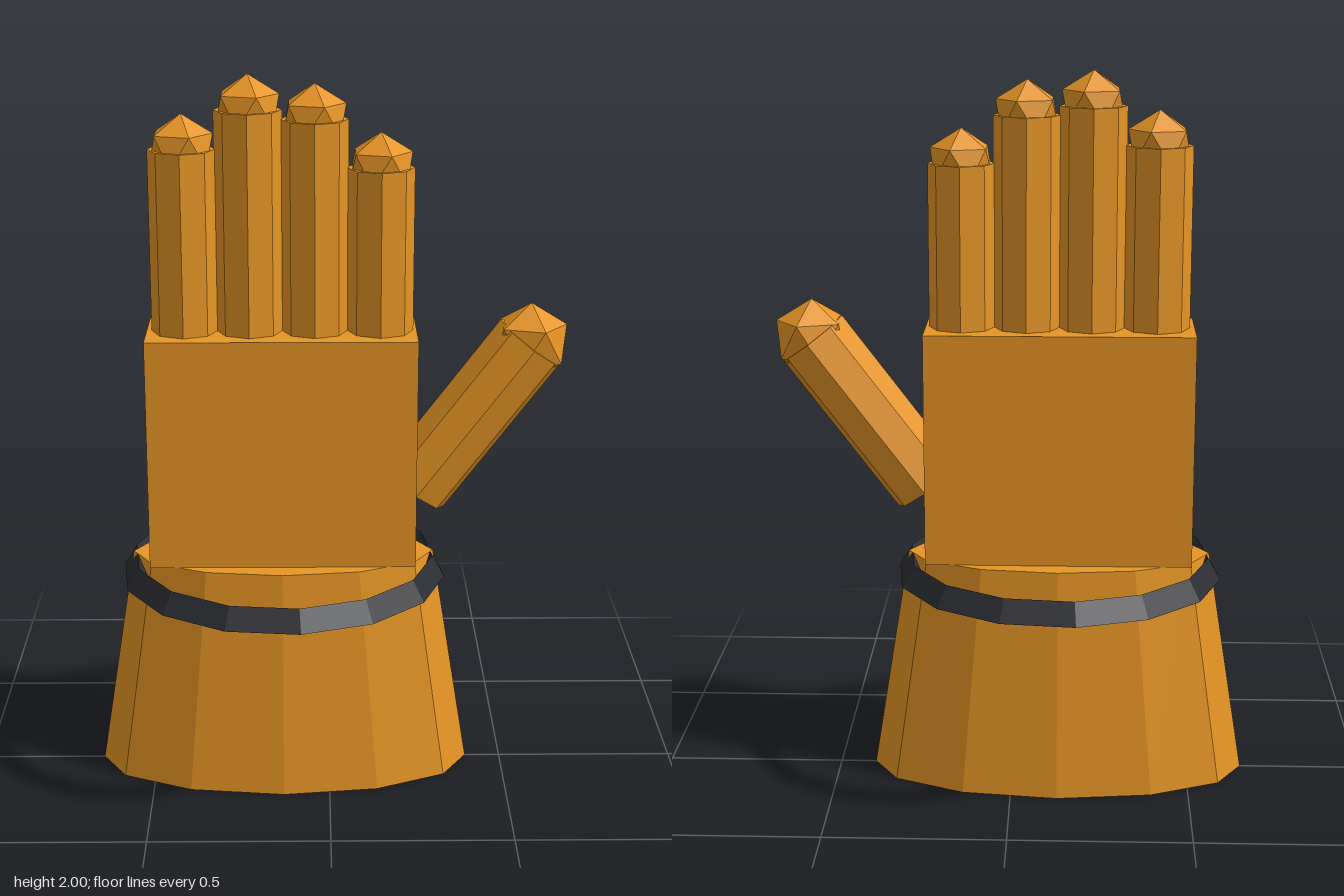
import * as THREE from 'three';

export function createModel() {
  const model = new THREE.Group();
  model.name = 'gauntlet';
  const leather = new THREE.MeshStandardMaterial({ color: 0xe69525, flatShading: true });
  const dark = new THREE.MeshStandardMaterial({ color: 0x2d2e33, flatShading: true });

  const add = (name, geometry, material, x, y, z = 0, parent = model) => {
    const mesh = new THREE.Mesh(geometry, material);
    mesh.name = name;
    mesh.position.set(x, y, z);
    parent.add(mesh);
    return mesh;
  };

  const midX = -0.13;

  // flared oval cuff
  const cuff = new THREE.CylinderGeometry(0.425, 0.53, 0.65, 12);
  cuff.scale(1, 1, 0.45);
  add('cuff', cuff, leather, midX, 0.325);

  // loose wrist ring with a triangular section, point upwards
  const section = [[0.458, 0.59], [0.423, 0.65], [0.388, 0.59], [0.458, 0.59]]
    .map(([r, y]) => new THREE.Vector2(r, y));
  add('wristRing', new THREE.LatheGeometry(section, 14, Math.PI / 28), dark, midX, 0);

  // palm block
  add('palm', new THREE.BoxGeometry(0.74, 0.65, 0.26), leather, midX, 0.975);

  // faceted fingertip standing on one of its corners
  const tip = (radius) => new THREE.IcosahedronGeometry(radius, 0)
    .rotateZ(-Math.atan(2 / (1 + Math.sqrt(5))));

  // four upright fingers: x position and height of the shaft top
  [
    ['littleFinger', -0.395, 1.8],
    ['ringFinger', -0.217, 1.905],
    ['middleFinger', -0.039, 1.88],
    ['indexFinger', 0.139, 1.75],
  ].forEach(([name, x, top]) => {
    const finger = new THREE.Group();
    finger.name = name;
    const height = top - 1.3;
    add(name + 'Shaft', new THREE.CylinderGeometry(0.092, 0.092, height, 8), leather,
      x, 1.3 + height / 2, 0, finger);
    add(name + 'Tip', tip(0.095), leather, x, top, 0, finger);
    model.add(finger);
  });

  // thumb leaning out from the side of the palm
  const thumb = new THREE.Group();
  thumb.name = 'thumb';
  const base = new THREE.Vector2(0.24, 0.847);
  const end = new THREE.Vector2(0.555, 1.265);
  const lean = end.clone().sub(base);
  const shaft = add('thumbShaft', new THREE.CylinderGeometry(0.105, 0.105, lean.length(), 8),
    leather, (base.x + end.x) / 2, (base.y + end.y) / 2, 0, thumb);
  shaft.rotation.z = -Math.atan2(lean.x, lean.y);
  add('thumbTip', tip(0.11), leather, end.x, end.y, 0, thumb);
  model.add(thumb);

  return model;
}
